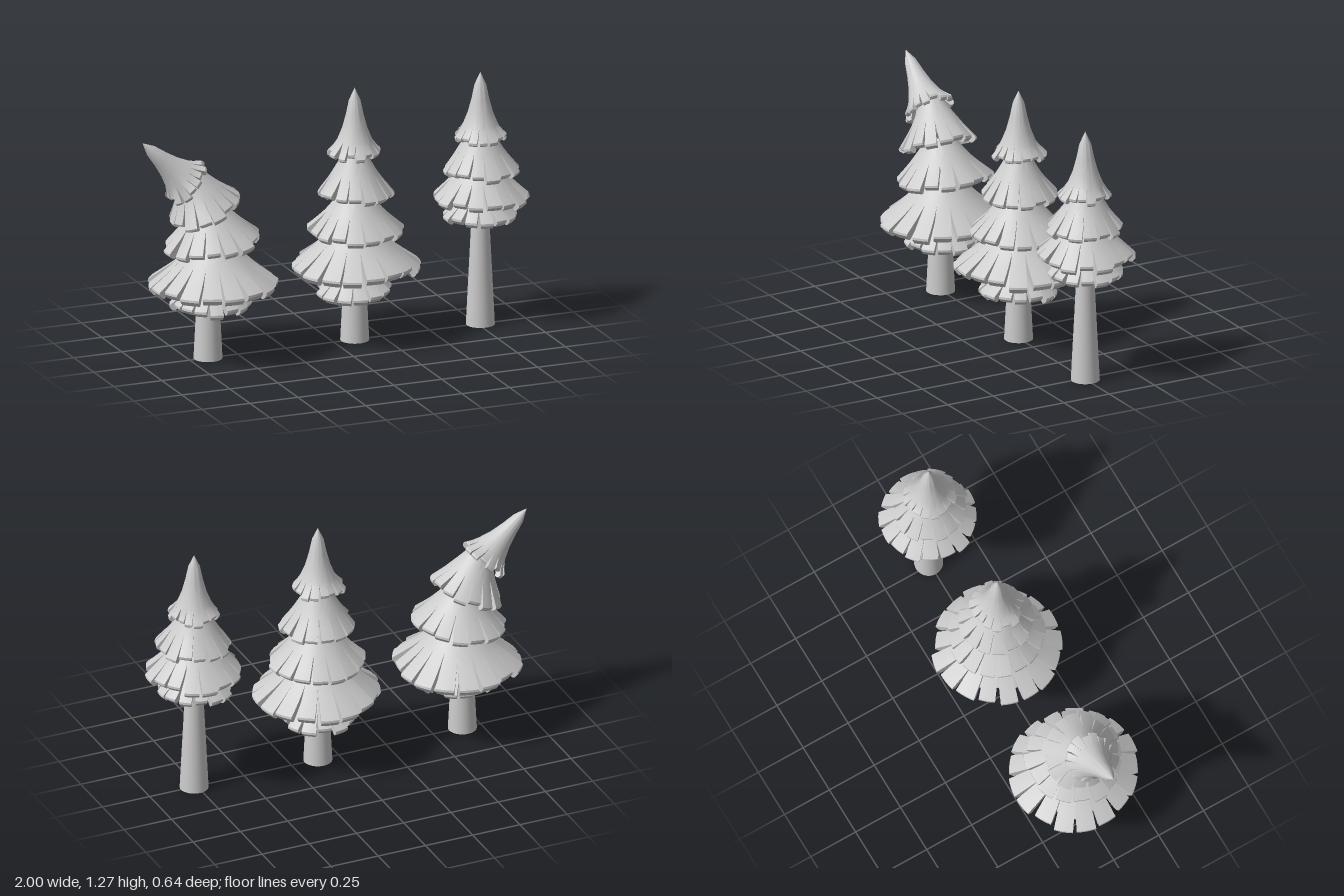
import * as THREE from 'three';
import { toCreasedNormals } from 'three/addons/utils/BufferGeometryUtils.js';

const material = new THREE.MeshStandardMaterial({ color: 0xcccccc, side: THREE.DoubleSide });

function seeded(seed) {
  let s = seed * 7919 + 17;
  return () => (s = (s * 16807) % 2147483647) / 2147483647;
}

// Hollow skirt of branches: a thick shell whose lower edge is split into separate flaps.
// profile: [radius, height] from the top down to the rim; root: where the slits begin (0..1).
function skirtGeometry(profile, { flaps, root, thick, seed }) {
  const rand = seeded(seed);
  rand();
  const curve = new THREE.SplineCurve(profile.map(p => new THREE.Vector2(...p)));
  const stations = [0, 0.15, 0.3, 0.45, 0.58, 0.7, 0.8, 0.9, 1].map(t => t < 0.6 ? t / 0.58 * root : root + (t - 0.58) / 0.42 * (1 - root));
  stations.push(1); // bevelled end
  const S = stations.length - 1, C = 4;
  const out = [];
  const quad = (a, b, c, d) => { for (const v of [a, b, c, a, c, d]) out.push(...v); };

  for (let k = 0; k < flaps; k++) {
    const slide = (rand() - 0.5) * 0.03, lift = (rand() - 0.5) * 0.02;
    const gapL = 0.05 + rand() * 0.1, gapR = 0.05 + rand() * 0.1;
    const point = (i, j, inner) => {
      const t = stations[i];
      const ramp = Math.max(0, (t - root) / (1 - root));
      const p = curve.getPointAt(t), d = curve.getTangentAt(t);
      const end = i === S ? 0.008 : 0;
      const along = slide * ramp + end;
      const depth = inner ? THREE.MathUtils.lerp(0.012, thick, t * t) - end : end;
      const n = depth - lift * ramp;
      const r = Math.max(0, p.x + d.x * along + d.y * n);
      const y = p.y + d.y * along - d.x * n;
      const u = THREE.MathUtils.lerp(gapL * ramp, 1 - gapR * ramp, j / C);
      const a = ((k + u) / flaps) * Math.PI * 2;
      return [r * Math.sin(a), y, r * Math.cos(a)];
    };
    for (let i = 0; i < S; i++) {
      for (let j = 0; j < C; j++) {
        quad(point(i + 1, j), point(i + 1, j + 1), point(i, j + 1), point(i, j));
        quad(point(i, j, true), point(i, j + 1, true), point(i + 1, j + 1, true), point(i + 1, j, true));
      }
      // slit walls
      if (stations[i + 1] > root + 1e-6) {
        quad(point(i + 1, 0, true), point(i + 1, 0), point(i, 0), point(i, 0, true));
        quad(point(i, C, true), point(i, C), point(i + 1, C), point(i + 1, C, true));
      }
    }
    // flap end
    for (let j = 0; j < C; j++) {
      quad(point(S, j, true), point(S, j + 1, true), point(S, j + 1), point(S, j));
    }
  }
  const geometry = new THREE.BufferGeometry();
  geometry.setAttribute('position', new THREE.Float32BufferAttribute(out, 3));
  return toCreasedNormals(geometry, 0.6);
}

// Rim radius, height above the rim, flap count and end thickness of each kind of tier
const tiers = {
  bottom: { R: 0.185, h: 0.15, top: 0.05, flaps: 14, thick: 0.04 },
  wide: { R: 0.305, h: 0.24, top: 0.05, flaps: 17, thick: 0.045 },
  middle: { R: 0.232, h: 0.2, top: 0.06, flaps: 16, thick: 0.04 },
  upper: { R: 0.182, h: 0.21, top: 0.05, flaps: 15, thick: 0.038 },
};

function makeTier(kind, seed) {
  const { R, h, top, flaps, thick } = tiers[kind];
  const at = f => top + (R - top) * f;
  const profile = [[top, h], [at(0.27), h * 0.68], [at(0.6), h * 0.34], [R, 0]];
  const mesh = new THREE.Mesh(skirtGeometry(profile, { flaps, root: 0.5, thick, seed }), material);
  mesh.name = kind + 'Branches';
  return mesh;
}

// Tall concave tip with a short toothed brim
function makeCrown(seed) {
  const profile = [[0, 0.315], [0.016, 0.302], [0.03, 0.245], [0.05, 0.15], [0.075, 0.075], [0.1, 0.03], [0.124, 0]];
  const mesh = new THREE.Mesh(skirtGeometry(profile, { flaps: 16, root: 0.8, thick: 0.028, seed }), material);
  mesh.name = 'crown';
  return mesh;
}

// layers: [kind, x, y, lean in degrees]
function makeTree(name, x, trunkHeight, trunkTop, layers, seed) {
  const tree = new THREE.Group();
  tree.name = name;
  const trunk = new THREE.Mesh(new THREE.CylinderGeometry(trunkTop, 0.07, trunkHeight, 32), material);
  trunk.name = 'trunk';
  trunk.position.y = trunkHeight / 2;
  tree.add(trunk);
  layers.forEach(([kind, lx, y, lean], i) => {
    const tier = kind === 'crown' ? makeCrown(seed + i) : makeTier(kind, seed + i);
    tier.position.set(lx, y, 0);
    tier.rotation.set(0, i * 0.5, THREE.MathUtils.degToRad(lean), 'ZYX');
    tree.add(tier);
  });
  tree.position.x = x;
  return tree;
}

export function createModel() {
  const model = new THREE.Group();
  model.name = 'pineTrees';
  model.add(
    makeTree('bentTree', -0.655, 0.5, 0.045, [
      ['bottom', 0.015, 0.275, 0], ['wide', 0.03, 0.385, 1], ['middle', 0.025, 0.595, 8],
      ['upper', -0.02, 0.76, 22], ['crown', -0.115, 0.905, 46],
    ], 3),
    makeTree('fullTree', 0.11, 0.8, 0.03, [
      ['bottom', 0, 0.255, 0], ['wide', 0, 0.385, 0], ['middle', 0, 0.56, 0],
      ['upper', 0, 0.745, 0], ['crown', 0, 0.955, 0],
    ], 11),
    makeTree('tallTree', 0.765, 0.8, 0.03, [
      ['bottom', 0, 0.555, 0], ['middle', 0, 0.65, 0], ['upper', 0, 0.785, 0], ['crown', 0, 0.955, 0],
    ], 23),
  );
  return model;
}
